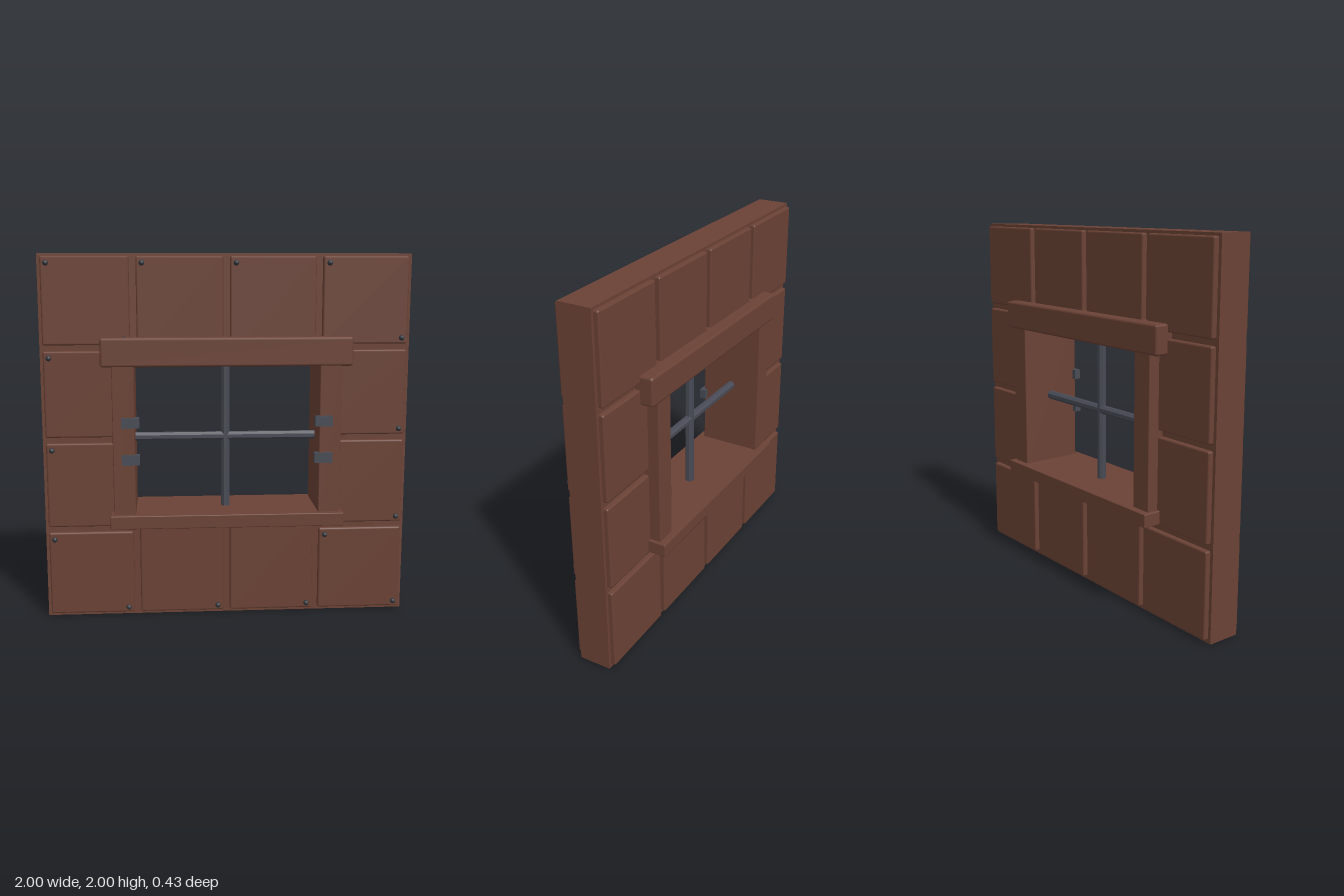
import * as THREE from 'three';
import { RoundedBoxGeometry } from 'three/addons/geometries/RoundedBoxGeometry.js';

export function createModel() {
  const model = new THREE.Group();
  model.name = 'windowWall';

  const brown = new THREE.MeshStandardMaterial({ color: 0x6b4235 });
  brown.name = 'rustBrown';
  const iron = new THREE.MeshStandardMaterial({ color: 0x484b55 });
  iron.name = 'ironGrey';
  const dark = new THREE.MeshStandardMaterial({ color: 0x33373c });
  dark.name = 'rivetDark';

  function add(name, geometry, material, x, y, z) {
    const mesh = new THREE.Mesh(geometry, material);
    mesh.name = name;
    mesh.position.set(x, y, z);
    model.add(mesh);
    return mesh;
  }

  // box given by its limits, optionally with softened edges
  function block(name, material, [x0, x1], [y0, y1], [z0, z1], bevel = 0) {
    const w = x1 - x0, h = y1 - y0, d = z1 - z0;
    const geometry = bevel
      ? new RoundedBoxGeometry(w, h, d, 1, bevel)
      : new THREE.BoxGeometry(w, h, d);
    return add(name, geometry, material, (x0 + x1) / 2, (y0 + y1) / 2, (z0 + z1) / 2);
  }

  // wall core with the window opening
  const wall = new THREE.Shape([
    new THREE.Vector2(-1, 0), new THREE.Vector2(1, 0),
    new THREE.Vector2(1, 2), new THREE.Vector2(-1, 2),
  ]);
  wall.holes.push(new THREE.Path([
    new THREE.Vector2(-0.51, 0.56), new THREE.Vector2(-0.51, 1.45),
    new THREE.Vector2(0.51, 1.45), new THREE.Vector2(0.51, 0.56),
  ]));
  add('wallCore', new THREE.ExtrudeGeometry(wall, { depth: 0.18, bevelEnabled: false }),
    brown, 0, 0, -0.09);

  // cladding panels on both faces, with rivets on the front in two opposite corners
  const rivet = new THREE.SphereGeometry(0.015, 10, 8);
  for (let col = 0; col < 4; col++) {
    for (let row = 0; row < 4; row++) {
      const middleCol = col === 1 || col === 2;
      if (middleCol && (row === 1 || row === 2)) continue;
      const left = -1 + col * 0.5, bottom = row * 0.5;
      const y0 = middleCol && row === 3 ? 1.45 : bottom + 0.018;
      const y1 = middleCol && row === 0 ? 0.56 : bottom + 0.485;
      block('panel', brown, [left + 0.018, left + 0.482], [y0, y1], [-0.117, -0.08], 0.01);
      block('panel', brown, [left + 0.018, left + 0.482], [y0, y1], [0.08, 0.117], 0.01);
      if (!(middleCol && row === 0)) add('rivet', rivet, dark, left + 0.05, bottom + 0.45, 0.125);
      if (!(middleCol && row === 3)) add('rivet', rivet, dark, left + 0.45, bottom + 0.05, 0.125);
    }
  }

  // window frame
  block('lintel', brown, [-0.677, 0.677], [1.405, 1.56], [-0.188, 0.188], 0.014);
  block('sill', brown, [-0.637, 0.637], [0.527, 0.6], [-0.217, 0.217], 0.005);
  for (const side of [-1, 1]) {
    const range = [side * 0.5, side * 0.618].sort((a, b) => a - b);
    block('jamb', brown, range, [0.56, 1.45], [-0.179, 0.179], 0.005);
    // shutter clips on the front of the jamb
    for (const y of [0.905, 1.107]) {
      add('clip', new THREE.BoxGeometry(0.097, 0.056, 0.037), iron, side * 0.522, y, 0.179);
    }
  }

  // crossed window bars
  const bar = (length) => new THREE.CylinderGeometry(0.025, 0.025, length, 8, 1, false, Math.PI / 8).toNonIndexed();
  for (const [name, length, turn] of [['verticalBar', 0.84, 0], ['horizontalBar', 1.04, Math.PI / 2]]) {
    const geometry = bar(length);
    geometry.computeVertexNormals();
    add(name, geometry, iron, 0, 1, 0).rotation.z = turn;
  }

  return model;
}
